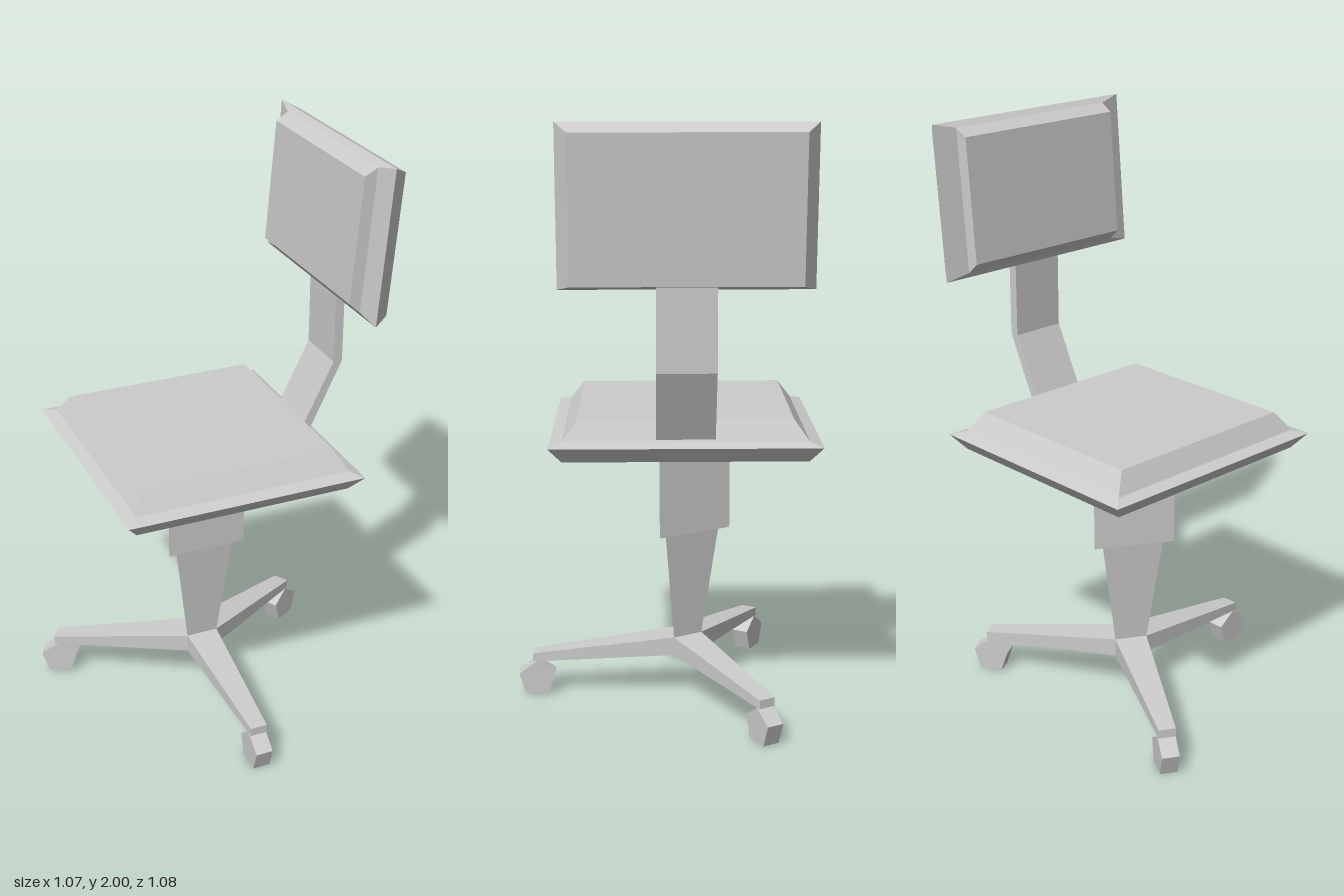
import * as THREE from 'three';

const material = new THREE.MeshStandardMaterial({ color: 0xcccccc, flatShading: true });

// Joins a series of equal-sized rings into a closed, faceted solid.
function loft(rings) {
  const pos = [];
  const tri = (a, b, c) => pos.push(...a, ...b, ...c);
  const n = rings[0].length;
  for (let i = 0; i < rings.length - 1; i++) {
    const lo = rings[i], hi = rings[i + 1];
    for (let j = 0; j < n; j++) {
      const k = (j + 1) % n;
      tri(lo[j], hi[j], lo[k]);
      tri(lo[k], hi[j], hi[k]);
    }
  }
  const first = rings[0], last = rings[rings.length - 1];
  for (let j = 1; j < n - 1; j++) {
    tri(first[0], first[j], first[j + 1]);
    tri(last[0], last[j + 1], last[j]);
  }
  const geometry = new THREE.BufferGeometry();
  geometry.setAttribute('position', new THREE.Float32BufferAttribute(pos, 3));
  geometry.computeVertexNormals();
  return geometry;
}

// Level rectangle at height y, for lofting upwards
const flatRect = (y, x0, x1, hz) => [[x1, y, hz], [x0, y, hz], [x0, y, -hz], [x1, y, -hz]];

// Upright rectangle, for lofting along x; its lower and upper edges may differ in x
const uprightRect = (xLow, yLow, xHigh, yHigh, hz) =>
  [[xHigh, yHigh, hz], [xHigh, yHigh, -hz], [xLow, yLow, -hz], [xLow, yLow, hz]];

// Level triangle, with its corners between the legs
const triangle = (y, r) => [30, 150, 270].map((deg) => {
  const a = THREE.MathUtils.degToRad(deg);
  return [r * Math.cos(a), y, r * Math.sin(a)];
});

export function createModel() {
  const model = new THREE.Group();
  const chair = new THREE.Group();
  chair.name = 'swivelChair';
  chair.position.set(-0.058, 0, -0.037);
  chair.rotation.y = THREE.MathUtils.degToRad(-10);
  model.add(chair);

  const add = (name, geometry, parent = chair) => {
    const mesh = new THREE.Mesh(geometry, material);
    mesh.name = name;
    parent.add(mesh);
    return mesh;
  };

  // Seat: bevelled slab with a raised cushion
  add('seat', loft([
    [0.925, 0.37, 0.398], [0.977, 0.41, 0.44], [0.99, 0.37, 0.398], [1.055, 0.333, 0.35],
  ].map(([y, hx, hz]) => flatRect(y, -hx, hx, hz))));

  // Backrest: leaning cushion, lofted from front panel to back face
  add('backrest', loft([
    uprightRect(0.39, 1.545, 0.425, 1.957, 0.315),
    uprightRect(0.428, 1.51, 0.468, 1.982, 0.318),
    uprightRect(0.442, 1.49, 0.485, 2.0, 0.4),
    uprightRect(0.5, 1.505, 0.54, 1.97, 0.36),
  ]));

  // Bent bar from the seat to the backrest
  add('backrestSupport', loft([
    flatRect(1.0, 0.343, 0.378, 0.095),
    flatRect(1.235, 0.459, 0.491, 0.095),
    flatRect(1.51, 0.459, 0.491, 0.095),
  ]));

  // Three-sided column and hub
  add('upperColumn', loft([triangle(0.6, 0.161), triangle(0.926, 0.161)]));
  add('lowerColumn', loft([triangle(0.215, 0.065), triangle(0.6, 0.123)]));
  add('hub', loft([triangle(0.15, 0.065), triangle(0.215, 0.065)]));

  // Three tapering legs, each on a five-sided caster
  const legGeometry = loft([
    uprightRect(0.0325, 0.15, 0.0325, 0.215, 0.0563),
    uprightRect(0.528, 0.12, 0.528, 0.15, 0.029),
  ]);
  const casterRadius = 0.067;
  const casterGeometry = new THREE.CylinderGeometry(casterRadius, casterRadius, 0.06, 5)
    .rotateX(-Math.PI / 2);
  for (const deg of [90, 210, 330]) {
    const leg = new THREE.Group();
    leg.name = 'legWithCaster';
    leg.rotation.y = -THREE.MathUtils.degToRad(deg);
    add('leg', legGeometry, leg);
    const caster = add('caster', casterGeometry, leg);
    caster.position.set(0.514, casterRadius * Math.cos(Math.PI / 5), 0);
    chair.add(leg);
  }

  return model;
}
